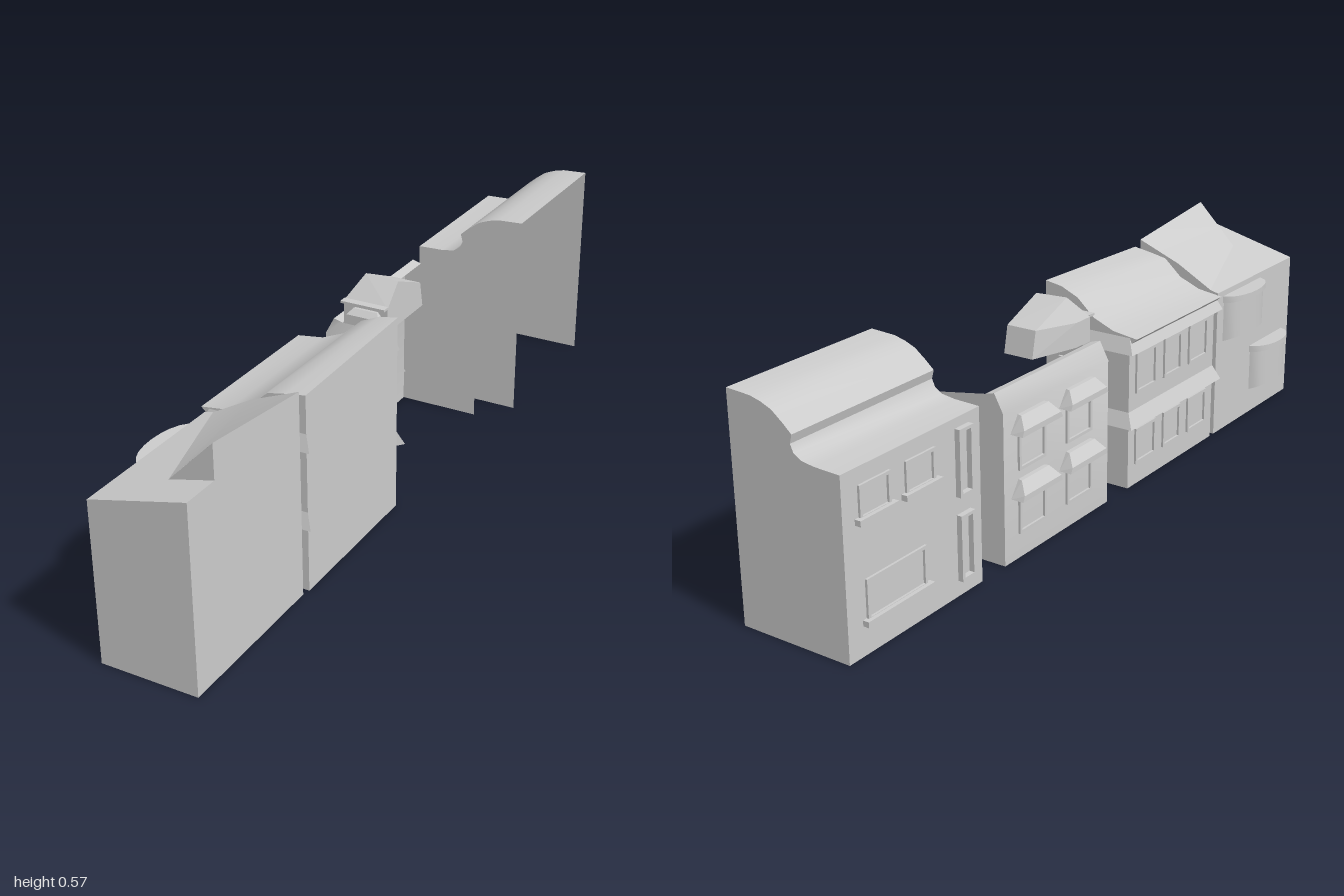
import * as THREE from 'three';
import { toCreasedNormals } from 'three/addons/utils/BufferGeometryUtils.js';
import { ConvexGeometry } from 'three/addons/geometries/ConvexGeometry.js';

const grey = new THREE.MeshStandardMaterial({ color: 0xcccccc, side: THREE.DoubleSide });
const FRONT = -0.13; // plane of all the facades, which face -x

function add(parent, name, geometry) {
  const mesh = new THREE.Mesh(geometry, grey);
  mesh.name = name;
  parent.add(mesh);
  return mesh;
}

// open sheet swept along z from one cross-section [x, y] to another
function sheet(from, to, z0, z1) {
  const pos = [], index = [];
  from.forEach(([x, y], i) => {
    pos.push(x, y, z0, to[i][0], to[i][1], z1);
    if (i) index.push(2 * i - 2, 2 * i - 1, 2 * i, 2 * i - 1, 2 * i + 1, 2 * i);
  });
  const g = new THREE.BufferGeometry();
  g.setAttribute('position', new THREE.Float32BufferAttribute(pos, 3));
  g.setIndex(index);
  return toCreasedNormals(g, 0.6);
}

const polygon = pts => new THREE.Shape(pts.map(([x, y]) => new THREE.Vector2(x, y)));
const endWall = (pts, z) => new THREE.ShapeGeometry(polygon(pts)).translate(0, 0, z);
const hull = pts => new ConvexGeometry(pts.map(p => new THREE.Vector3(...p)));

// group whose local x runs along world z and whose local z points out of the facade
function facade(parent) {
  const g = new THREE.Group();
  g.name = 'facadeDetails';
  g.position.x = FRONT;
  g.rotation.y = -Math.PI / 2;
  parent.add(g);
  return g;
}

function windowFrame(parent, x0, x1, y0, y1, depth = 0.006) {
  const t = 0.008;
  const s = polygon([[x0, y0], [x1, y0], [x1, y1], [x0, y1]]);
  s.holes.push(polygon([[x0 + t, y0 + t], [x0 + t, y1 - t], [x1 - t, y1 - t], [x1 - t, y0 + t]]));
  add(parent, 'windowFrame', new THREE.ExtrudeGeometry(s, { depth, bevelEnabled: false }));
}

// sloping trapezoid hood over a window
function hood(parent, x, y, w, h, d, z = 0) {
  const pts = [];
  for (const s of [-1, 1]) pts.push([s * w / 2, 0, 0], [s * w * 0.32, h, 0], [s * w / 2, 0, d],
    [s * w * 0.46, h * 0.35, d], [s * w * 0.34, h, d * 0.35]);
  add(parent, 'windowHood', hull(pts)).position.set(x, y, z);
}

function sill(parent, x0, x1, y) {
  add(parent, 'windowSill', new THREE.BoxGeometry(x1 - x0, 0.014, 0.016)).position.set((x0 + x1) / 2, y, 0.008);
}

// curved slab or bay, its underside rising towards the front
function bow(parent, name, x0, x1, y0, y1, out, rise) {
  const s = new THREE.Shape();
  s.moveTo(x0, 0);
  s.bezierCurveTo(x0 + 0.01, -out * 1.33, x1 - 0.01, -out * 1.33, x1, 0);
  let g = new THREE.ExtrudeGeometry(s, { depth: y1 - y0, bevelEnabled: false, curveSegments: 10 });
  g.rotateX(-Math.PI / 2).translate(0, y0, 0);
  const p = g.attributes.position;
  for (let i = 0; i < p.count; i++) if (p.getY(i) < y0 + 1e-4) p.setY(i, y0 + p.getZ(i) * rise);
  add(parent, name, toCreasedNormals(g, 0.6));
}

// house with bowed bays and a raised roof
function bayHouse() {
  const g = new THREE.Group();
  g.name = 'bayHouse';
  const z0 = 0.56, z1 = 1, zg = 0.9, back = 0.125;
  const walls = [[FRONT, 0], [FRONT, 0.42], [back, 0.485], [back, 0]];
  add(g, 'wallsAndRoof', sheet(walls, walls, z0, z1));
  add(g, 'frontEndWall', endWall(walls, z1));
  add(g, 'rearEndWall', endWall([[FRONT, 0], [FRONT, 0.42], [-0.106, 0.426], [0, 0.485], [back, 0.535], [back, 0]], z0));
  add(g, 'raisedRoof', sheet([[-0.106, 0.426], [0, 0.485], [back, 0.535], [back, 0.485]],
    [[0.01, 0.456], [0.06, 0.507], [back, 0.573], [back, 0.485]], z0, zg));
  add(g, 'gable', endWall([[0.01, 0.456], [back, 0.573], [back, 0.485]], zg));
  const f = facade(g);
  for (const [a, b, y0, y1] of [[0.59, 0.81, 0.27, 0.39], [0.76, 0.96, 0.072, 0.195]]) {
    bow(f, 'bayWindow', a + 0.006, b - 0.006, y0, y1, 0.042, 0.35);
    bow(f, 'bayCap', a, b, y1 - 0.006, y1 + 0.014, 0.05, 0.1);
  }
  return g;
}

// house with a sweeping roof and flared bands
function bandHouse() {
  const g = new THREE.Group();
  g.name = 'bandHouse';
  const z0 = 0.1, z1 = 0.54, back = 0.13;
  const section = top => [[FRONT, 0], [FRONT, 0.4], [-0.152, 0.42], [-0.08, 0.43], [-0.02, 0.455],
    [0.03, 0.5], [0.08, top - 0.008], [back, top], [back, 0]];
  add(g, 'wallsAndRoof', sheet(section(0.53), section(0.518), z0, z1));
  add(g, 'rearEndWall', endWall(section(0.53), z0));
  add(g, 'frontEndWall', endWall(section(0.518), z1));
  const f = facade(g);
  for (const y of [0.38, 0.175]) {
    // the band has a triangular section and wraps the facade and both ends
    const inner = [[back, z0], [FRONT, z0], [FRONT, z1], [back, z1]];
    const outer = [[0.145, z0 - 0.018], [-0.15, z0 - 0.018], [-0.15, z1 + 0.014], [0.145, z1 + 0.014]];
    for (let i = 0; i < 3; i++) {
      const pts = [];
      for (const k of [i, i + 1]) pts.push([inner[k][0], y, inner[k][1]], [inner[k][0], y + 0.04, inner[k][1]],
        [outer[k][0], y, outer[k][1]]);
      add(g, 'flaredBand', hull(pts));
    }
  }
  for (const [a, b] of [[0.13, 0.23], [0.27, 0.36], [0.4, 0.5]]) {
    windowFrame(f, a, b, 0.26, 0.37);
    windowFrame(f, a, b, 0.06, 0.16);
  }
  return g;
}

// corner house with hooded windows and a dormer
function hoodHouse() {
  const g = new THREE.Group();
  g.name = 'hoodHouse';
  const section = [[FRONT, 0], [FRONT, 0.39], [-0.105, 0.437], [-0.08, 0.43]];
  add(g, 'facadeAndCornice', sheet(section, section, -0.445, 0));
  add(g, 'rearEndWall', endWall([...section, [0.095, 0.4], [0.095, 0]], -0.445));
  const f = facade(g);
  for (const [a, b] of [[-0.39, -0.28], [-0.19, -0.08]])
    for (const y of [0.165, 0.33]) {
      windowFrame(f, a, b, y - 0.1, y + 0.01);
      hood(f, (a + b) / 2, y, 0.165, 0.042, 0.035);
    }
  // side hoods face +z
  for (const y of [0.35, 0.175, 0.46]) hood(g, -0.01, y, 0.1, 0.022, 0.022);
  add(g, 'dormer', hull([[-0.075, 0.43, 0], [0.05, 0.43, 0], [-0.075, 0.495, 0], [0.05, 0.495, 0],
    [-0.075, 0.43, -0.06], [-0.075, 0.495, -0.06], [-0.042, 0.554, -0.056], [0.05, 0.55, -0.056],
    [-0.035, 0.5, -0.18], [0.05, 0.5, -0.18], [-0.035, 0.43, -0.195], [0.05, 0.43, -0.195]]));
  add(g, 'dormerEave', new THREE.BoxGeometry(0.125, 0.006, 0.022)).position.set(-0.0125, 0.497, 0.008);
  return g;
}

// house with a stepped, curling roof and an open back
function curlHouse() {
  const g = new THREE.Group();
  g.name = 'curlHouse';
  const z0 = -1, z1 = -0.535;
  const section = [[FRONT, 0], [FRONT, 0.44], [-0.06, 0.442], [-0.025, 0.447], [-0.005, 0.46], [0.003, 0.478],
    [-0.003, 0.5], [0.02, 0.52], [0.05, 0.543], [0.08, 0.555], [0.11, 0.562], [0.178, 0.565]];
  add(g, 'facadeAndRoof', sheet(section, section, z0, z1));
  for (const z of [z0, z1]) add(g, 'endWall', endWall([...section, [0.178, 0]], z));
  const f = facade(g);
  for (const y of [0.04, 0.25]) windowFrame(f, -0.625, -0.575, y, y + 0.165, 0.014);
  for (const [a, b, y0, y1] of [[-0.95, -0.85, 0.32, 0.4], [-0.8, -0.7, 0.32, 0.4], [-0.94, -0.74, 0.08, 0.18]]) {
    windowFrame(f, a, b, y0, y1);
    sill(f, a - 0.012, b + 0.012, y0);
  }
  return g;
}

export function createModel() {
  const model = new THREE.Group();
  model.name = 'houseRow';
  model.add(bayHouse(), bandHouse(), hoodHouse(), curlHouse());
  return model;
}
